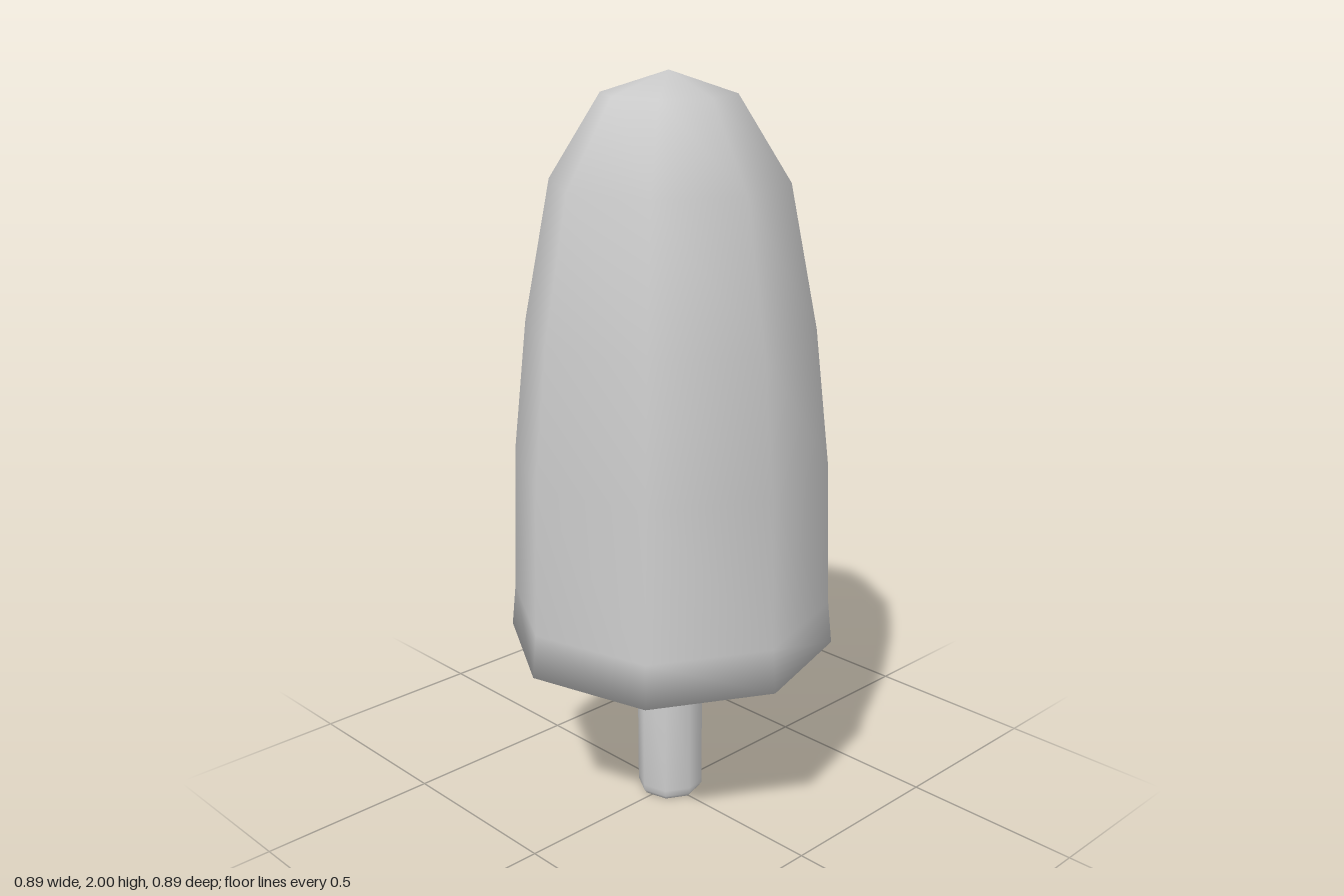
import * as THREE from 'three';
import { mergeVertices } from 'three/addons/utils/BufferGeometryUtils.js';

const SIDES = 8;
const TURN = THREE.MathUtils.degToRad(37.9);
const PIVOT_Y = 0.482;

// Eight-sided turned solid with normals smoothed over every shared corner.
function turned(name, profile, material) {
  const points = profile.map(([r, y]) => new THREE.Vector2(r, y - PIVOT_Y));
  let geometry = new THREE.LatheGeometry(points, SIDES, TURN);
  geometry.deleteAttribute('normal');
  geometry.deleteAttribute('uv');
  geometry = mergeVertices(geometry, 1e-4);
  geometry.computeVertexNormals();
  const mesh = new THREE.Mesh(geometry, material);
  mesh.name = name;
  return mesh;
}

export function createModel() {
  const material = new THREE.MeshStandardMaterial({ color: 0xcccccc });
  const model = new THREE.Group();
  model.name = 'taperedTree';

  // The whole tree leans slightly about the base of its crown
  const lean = new THREE.Group();
  lean.name = 'leaningTree';
  lean.position.y = PIVOT_Y;
  lean.rotation.set(0.016, 0, -0.014);
  model.add(lean);

  // Crown: flat underside, gently tapering sides, blunt pointed tip
  lean.add(turned('crown', [
    [0, 0.482], [0.446, 0.482], [0.434, 0.6], [0.42, 1.0],
    [0.38, 1.36], [0.307, 1.73], [0.172, 1.945], [0, 2.0],
  ], material));

  // Trunk: straight post with a small bevel around its foot
  lean.add(turned('trunk', [
    [0, 0.002], [0.083, 0.002], [0.091, 0.014], [0.091, 0.03], [0.091, 0.5], [0, 0.5],
  ], material));

  return model;
}
